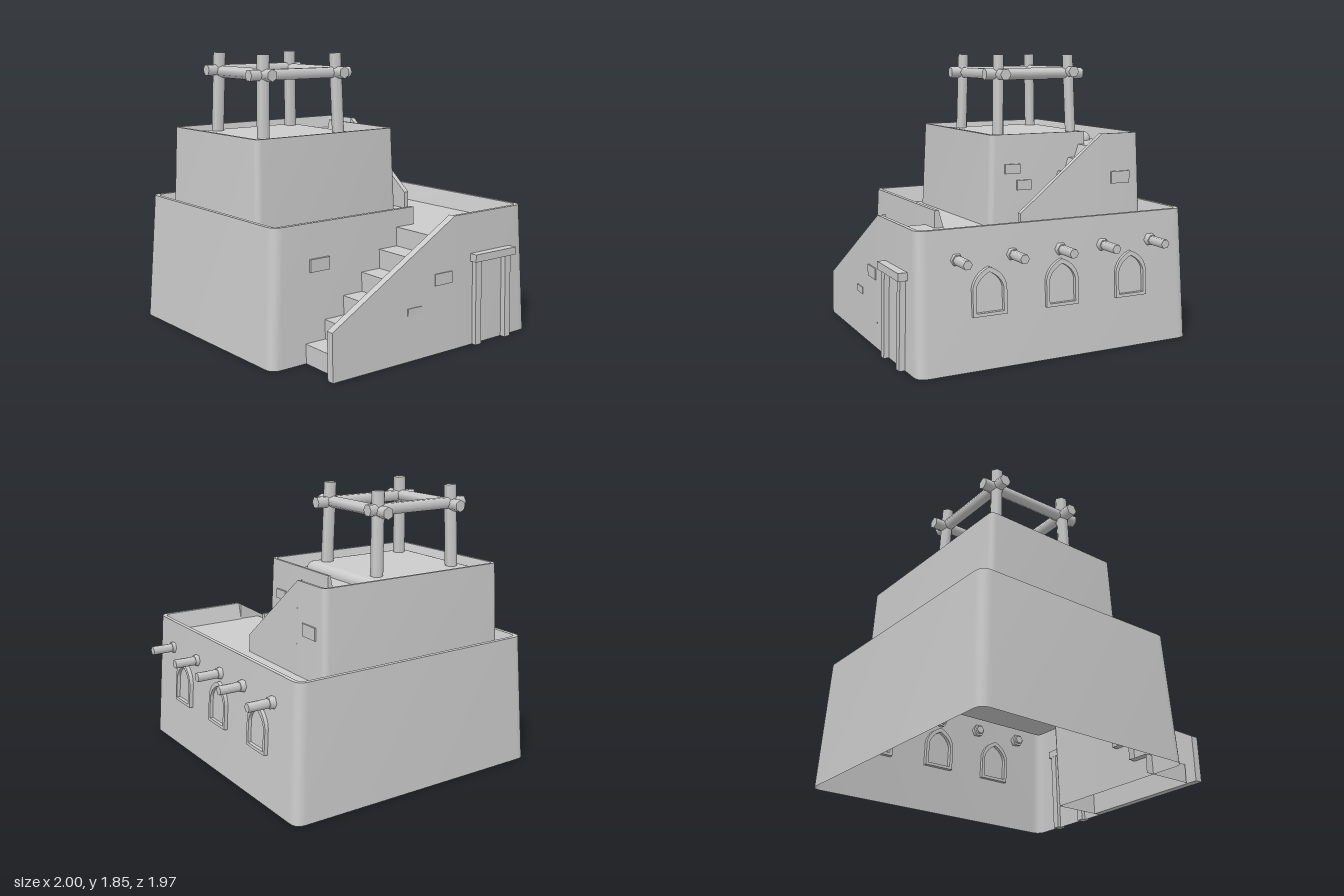
import * as THREE from 'three';
import { toCreasedNormals } from 'three/addons/utils/BufferGeometryUtils.js';
import { RoundedBoxGeometry } from 'three/addons/geometries/RoundedBoxGeometry.js';

const mat = new THREE.MeshStandardMaterial({ color: 0xcccccc });
const openMat = new THREE.MeshStandardMaterial({ color: 0xcccccc, side: THREE.DoubleSide });

function add(parent, name, geometry, material = mat) {
  const mesh = new THREE.Mesh(geometry, material);
  mesh.name = name;
  parent.add(mesh);
  return mesh;
}

// A storey: tapered outer wall, narrow parapet rim, sloping inner face and roof floor.
// Each corner: b = base, t = parapet outer edge, i = edge of the floor (all [x, z]),
// r = corner radius, low = parapet left out here (stair opening).
function storey(parent, name, y0, top, floor, corners) {
  const n = corners.length, stations = [];
  corners.forEach((c, k) => {
    const prev = corners[(k + n - 1) % n], next = corners[(k + 1) % n];
    const steps = c.r ? 6 : 0;
    for (let s = 0; s <= steps; s++) {
      const ring = (key, r) => {
        const p = new THREE.Vector2(...c[key]);
        if (!c.r) return p;
        const toward = (q) => new THREE.Vector2(...q[key]).sub(p).setLength(r).add(p);
        return new THREE.QuadraticBezierCurve(toward(prev), p, toward(next)).getPoint(s / steps);
      };
      const at = (v, y) => new THREE.Vector3(v.x, y, v.y);
      const h = c.low ? floor : top, rim = ring('t', c.r), inner = ring('i', c.r * 0.4);
      stations.push([at(ring('b', c.r), y0), at(rim, h), at(rim.clone().lerp(inner, 0.45), h), at(inner, floor)]);
    }
  });
  const pos = [], tri = new THREE.Triangle();
  const face = (a, b, c) => {
    if (tri.set(a, b, c).getArea() > 1e-7) for (const p of [a, b, c]) pos.push(p.x, p.y, p.z);
  };
  stations.forEach((s, k) => {
    const e = stations[(k + 1) % stations.length];
    for (let l = 0; l < 3; l++) {
      face(s[l], e[l], e[l + 1]);
      face(s[l], e[l + 1], s[l + 1]);
    }
  });
  const walls = new THREE.BufferGeometry();
  walls.setAttribute('position', new THREE.Float32BufferAttribute(pos, 3));
  add(parent, name + 'Walls', toCreasedNormals(walls, 0.6), openMat);

  const outline = stations.map((s) => new THREE.Vector2(s[3].x, -s[3].z))
    .filter((p, k, all) => k === 0 || p.distanceTo(all[k - 1]) > 1e-5);
  const deck = new THREE.ShapeGeometry(new THREE.Shape(outline)).rotateX(-Math.PI / 2).translate(0, floor, 0);
  add(parent, name + 'Floor', deck, openMat);
}

const polygon = (pts) => new THREE.Shape(pts.map((p) => new THREE.Vector2(...p)));
const extrude = (shape, depth) => new THREE.ExtrudeGeometry(shape, { depth, bevelEnabled: false, curveSegments: 6 });

// Open flight of treads and risers climbing along +x; slant tips the risers back
function flight(n, x0, x1, y0, y1, width, slant) {
  const dx = (x1 - x0) / n, dy = (y1 - y0) / n, profile = [[x0, y0]], pos = [];
  for (let k = 0; k < n; k++) {
    profile.push([x0 + dx * (k + slant), y0 + dy * (k + 1)], [x0 + dx * (k + 1), y0 + dy * (k + 1)]);
  }
  for (let k = 1; k < profile.length; k++) {
    const [a, b] = [profile[k - 1], profile[k]];
    pos.push(...a, 0, ...a, width, ...b, width, ...a, 0, ...b, width, ...b, 0);
  }
  const geo = new THREE.BufferGeometry();
  geo.setAttribute('position', new THREE.Float32BufferAttribute(pos, 3));
  geo.computeVertexNormals();
  return geo;
}

// Lean a geometry along one axis (0 = x, 2 = z) in proportion to its height
function lean(geometry, axis, slope, y0 = 0) {
  const p = geometry.attributes.position;
  for (let k = 0; k < p.count; k++) p.setComponent(k, axis, p.getComponent(k, axis) - (p.getY(k) - y0) * slope);
  geometry.computeVertexNormals();
  return geometry;
}

// Round timber between two points
function rod(parent, name, a, b, r0, r1 = r0) {
  const from = new THREE.Vector3(...a), to = new THREE.Vector3(...b);
  const mesh = add(parent, name, new THREE.CylinderGeometry(r1, r0, from.distanceTo(to), 6));
  mesh.position.copy(from).add(to).multiplyScalar(0.5);
  mesh.quaternion.setFromUnitVectors(new THREE.Vector3(0, 1, 0), to.sub(from).normalize());
}

function box(parent, name, x0, x1, y0, y1, z0, z1) {
  const mesh = add(parent, name, new THREE.BoxGeometry(x1 - x0, y1 - y0, z1 - z0));
  mesh.position.set((x0 + x1) / 2, (y0 + y1) / 2, (z0 + z1) / 2);
}

// Pointed arch outline
function arch(path, w, y0, spring, apex) {
  path.moveTo(-w, y0);
  path.lineTo(w, y0);
  path.lineTo(w, spring);
  path.quadraticCurveTo(w * 0.85, apex - 0.035, 0, apex);
  path.quadraticCurveTo(-w * 0.85, apex - 0.035, -w, spring);
  path.closePath();
  return path;
}

export function createModel() {
  const g = new THREE.Group();
  g.name = 'adobeTower';

  // Lower storey, notched at the front for the outer stair
  storey(g, 'lower', 0, 0.86, 0.745, [
    { b: [-1.0, -0.945], t: [-0.945, -0.91], i: [-0.88, -0.85], r: 0.07 },
    { b: [-0.955, 0.59], t: [-0.91, 0.555], i: [-0.85, 0.49], r: 0.07 },
    { b: [0.2, 0.575], t: [0.2, 0.54], i: [0.2, 0.48], r: 0 },
    { b: [0.2, 0.575], t: [0.2, 0.54], i: [0.2, 0.48], r: 0, low: true },
    { b: [0.2, 0.87], t: [0.2, 0.87], i: [0.2, 0.87], r: 0, low: true },
    { b: [0.2, 0.87], t: [0.2, 0.87], i: [0.2, 0.87], r: 0 },
    { b: [0.2, 0.945], t: [0.2, 0.925], i: [0.2, 0.87], r: 0 },
    { b: [0.885, 0.935], t: [0.83, 0.915], i: [0.77, 0.855], r: 0.07 },
    { b: [0.855, -0.985], t: [0.81, -0.95], i: [0.75, -0.89], r: 0.07 },
  ]);
  add(g, 'lowerStair', flight(6, -0.7, 0.2, 0, 0.745, 0.35, 0).translate(0, 0, 0.53), openMat);
  const lowerSide = extrude(polygon([[-0.77, 0], [0.2, 0], [0.2, 0.86], [-0.77, 0.3]]), 0.05);
  add(g, 'lowerStairWall', lean(lowerSide.translate(0, 0, 0.895), 2, 0.023));

  // Upper storey, notched at its front left for the inner stair
  storey(g, 'upper', 0.745, 1.34, 1.255, [
    { b: [-0.85, -0.785], t: [-0.83, -0.765], i: [-0.785, -0.725], r: 0.04 },
    { b: [-0.81, 0.235], t: [-0.795, 0.21], i: [-0.75, 0.165], r: 0.04 },
    { b: [0.335, 0.215], t: [0.315, 0.195], i: [0.275, 0.15], r: 0.04 },
    { b: [0.325, -0.5], t: [0.315, -0.5], i: [0.28, -0.5], r: 0 },
    { b: [0.325, -0.5], t: [0.315, -0.5], i: [0.28, -0.5], r: 0, low: true },
    { b: [0.5, -0.5], t: [0.5, -0.5], i: [0.5, -0.5], r: 0, low: true },
    { b: [0.5, -0.5], t: [0.5, -0.5], i: [0.5, -0.5], r: 0 },
    { b: [0.55, -0.5], t: [0.535, -0.5], i: [0.5, -0.5], r: 0 },
    { b: [0.545, -0.81], t: [0.53, -0.785], i: [0.495, -0.745], r: 0.04 },
  ]);
  const upperStair = flight(6, 0.03, 0.5, 0.745, 1.255, 0.21, 0.4);
  add(g, 'upperStair', upperStair.rotateY(Math.PI / 2).translate(0.305, 0, 0), openMat);
  const upperSide = extrude(polygon([[-0.1, 0.745], [0.5, 0.745], [0.5, 1.34], [-0.1, 0.86]]), 0.035);
  add(g, 'upperStairWall', lean(upperSide.rotateY(Math.PI / 2).translate(0.515, 0, 0), 0, 0.025, 0.745));

  // Roof platform with a timber frame
  add(g, 'roofPlatform', new RoundedBoxGeometry(0.84, 0.16, 0.79, 3, 0.05)).position.set(-0.305, 1.235, -0.295);
  const frame = new THREE.Group();
  frame.name = 'timberFrame';
  g.add(frame);
  for (const [x, dx] of [[-0.588, -0.015], [-0.015, 0.018]]) {
    for (const [z, dz] of [[-0.555, -0.02], [-0.02, 0.012]]) {
      rod(frame, 'post', [x + dx, 1.28, z + dz], [x, 1.847, z], 0.041);
    }
    rod(frame, 'sideBeam', [x, 1.718, -0.665], [x, 1.718, 0.085], 0.04);
  }
  rod(frame, 'backBeam', [-0.69, 1.73, -0.56], [0.07, 1.73, -0.56], 0.04);
  rod(frame, 'frontBeam', [-0.7, 1.717, -0.02], [0.1, 1.717, -0.02], 0.04);

  // Roof timbers poking out of the left wall
  for (const z of [0.67, 0.305, -0.027, -0.328, -0.687]) {
    rod(g, 'timberEnd', [0.78, 0.677, z], [1.0, 0.677, z], 0.03);
    rod(g, 'timberCollar', [0.8, 0.677, z], [0.86, 0.677, z], 0.046, 0.036);
  }

  // Pointed window frames
  for (const z of [0.47, -0.026, -0.53]) {
    const shape = arch(new THREE.Shape(), 0.112, 0.33, 0.5, 0.622);
    shape.holes.push(arch(new THREE.Path(), 0.09, 0.35, 0.495, 0.592));
    const geo = extrude(shape, 0.05).rotateY(Math.PI / 2).translate(0.843 + 0.016 * z, 0, z);
    add(g, 'windowFrame', lean(geo, 0, 0.055));
  }

  // Doorway
  for (const x of [0.36, 0.63]) {
    const jamb = new THREE.BoxGeometry(0.05, 0.56, 0.06).translate(x + 0.025, 0.28, 0.945);
    add(g, 'doorJamb', lean(jamb, 2, 0.025));
  }
  box(g, 'doorLintel', 0.34, 0.705, 0.55, 0.6, 0.9, 0.982);

  // Exposed bricks
  box(g, 'brick', -0.655, -0.51, 0.56, 0.64, 0.53, 0.575);
  box(g, 'brick', 0.03, 0.175, 0.44, 0.515, 0.9, 0.941);
  box(g, 'brick', -0.195, -0.085, 0.29, 0.335, 0.91, 0.943);
  box(g, 'brick', 0.3, 0.335, 1.085, 1.147, -0.01, 0.1);
  box(g, 'brick', 0.3, 0.337, 0.975, 1.04, -0.09, 0.015);
  box(g, 'brick', 0.52, 0.55, 1.01, 1.09, -0.71, -0.57);
  return g;
}
